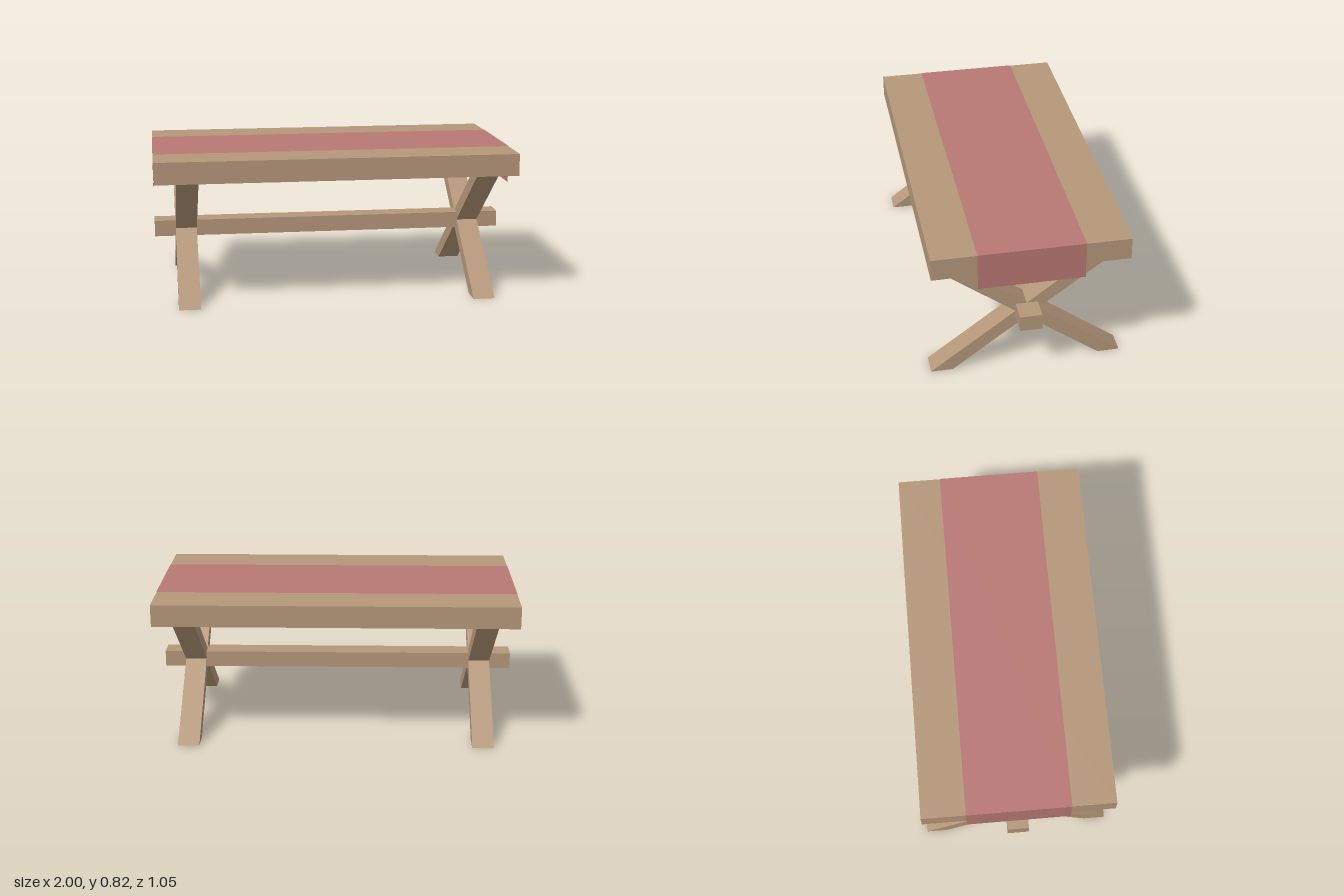
import * as THREE from 'three';

const wood = new THREE.MeshStandardMaterial({ color: 0xb5977a });
const fabric = new THREE.MeshStandardMaterial({ color: 0xb87874, side: THREE.DoubleSide });

export function createModel() {
  const model = new THREE.Group();
  model.name = 'trestleTable';

  const add = (name, geometry, material, x = 0, y = 0, z = 0) => {
    const mesh = new THREE.Mesh(geometry, material);
    mesh.name = name;
    mesh.position.set(x, y, z);
    model.add(mesh);
    return mesh;
  };

  // Thick slab top and the stretcher through both leg crossings
  add('tableTop', new THREE.BoxGeometry(1.997, 0.122, 1.046), wood, 0, 0.758, 0);
  add('stretcher', new THREE.BoxGeometry(1.997, 0.09, 0.12), wood, 0, 0.349, 0);

  // Slanted legs, cut level at the floor and under the top; s mirrors the slant
  const legWidth = 0.12;
  const legGeometry = (s) => {
    const outline = [[-0.523, 0], [-0.403, 0], [0.523, 0.697], [0.403, 0.697]];
    const shape = new THREE.Shape(outline.map(([u, v]) => new THREE.Vector2(u * s, v)));
    return new THREE.ExtrudeGeometry(shape, { depth: legWidth, bevelEnabled: false })
      .translate(0, 0, -legWidth / 2)
      .rotateY(Math.PI / 2);
  };
  for (const [side, x] of [['left', 0.82], ['right', -0.82]]) {
    add(side + 'LegRisingToBack', legGeometry(1), wood, x);
    add(side + 'LegRisingToFront', legGeometry(-1), wood, x);
  }

  // Thin runner lying on the top and hanging over both ends
  const runnerWidth = 0.566, topY = 0.8205, hemY = 0.612;
  add('runnerTop', new THREE.PlaneGeometry(2, runnerWidth).rotateX(-Math.PI / 2), fabric, 0, topY, 0);
  for (const [side, s] of [['left', 1], ['right', -1]]) {
    const drop = new THREE.PlaneGeometry(runnerWidth, topY - hemY).rotateY(s * Math.PI / 2);
    add(side + 'RunnerDrop', drop, fabric, s, (topY + hemY) / 2, 0);
  }

  return model;
}
